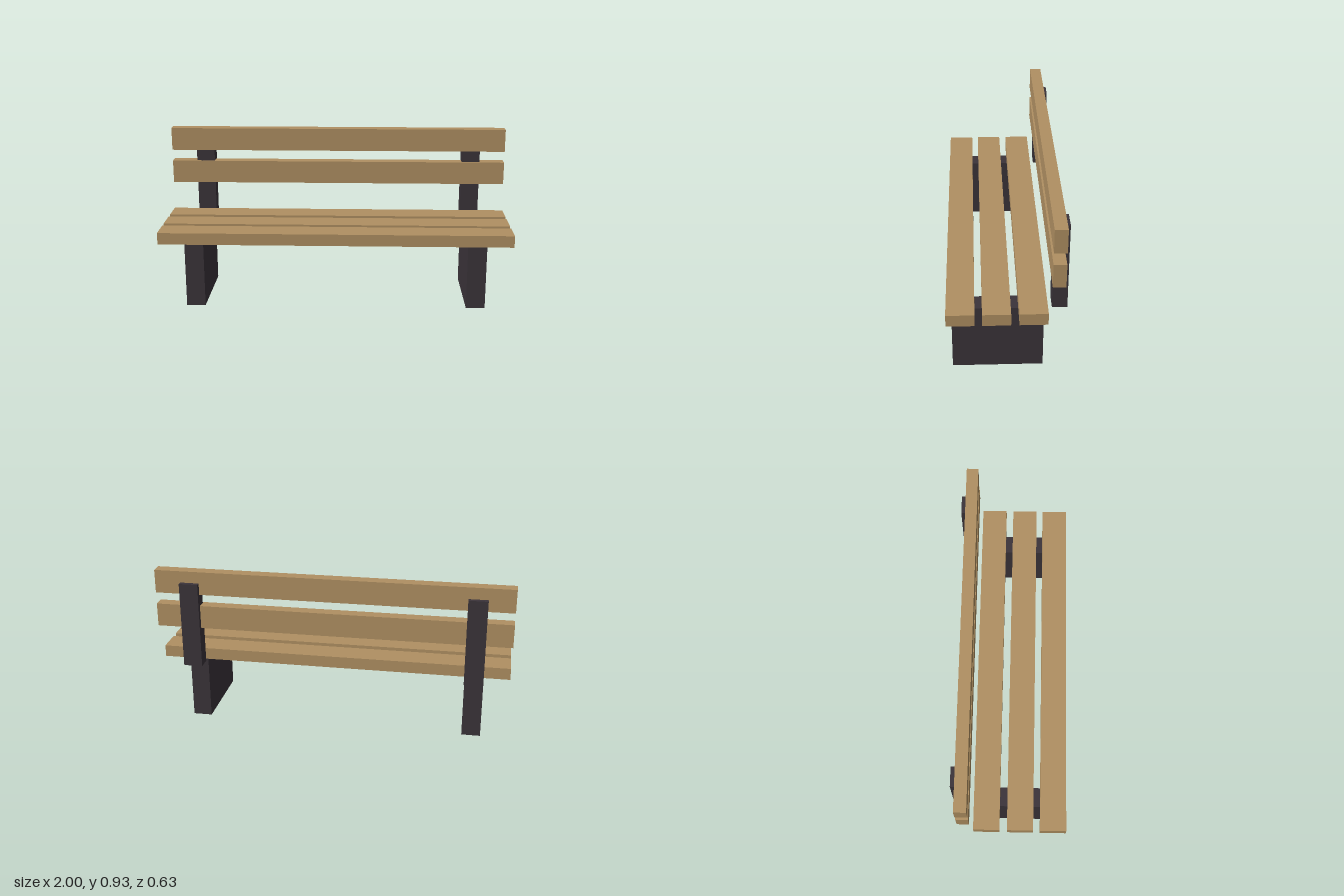
import * as THREE from 'three';

export function createModel() {
  const model = new THREE.Group();
  model.name = 'bench';

  const wood = new THREE.MeshStandardMaterial({ color: 0xb09062 });
  wood.name = 'wood';
  const iron = new THREE.MeshStandardMaterial({ color: 0x3b343a });
  iron.name = 'dark iron';

  // Box given by its centre x, width, and y and z limits
  function addBox(name, material, x, width, y0, y1, z0, z1) {
    const mesh = new THREE.Mesh(new THREE.BoxGeometry(width, y1 - y0, z1 - z0), material);
    mesh.position.set(x, (y0 + y1) / 2, (z0 + z1) / 2);
    mesh.name = name;
    model.add(mesh);
  }

  // Seat slats, front to back
  [0.24, 0.056, -0.132].forEach((z, i) => {
    addBox(`seatSlat${i + 1}`, wood, 0, 2, 0.373, 0.44, z - 0.073, z + 0.073);
  });

  // Backrest slats, lower and upper
  addBox('lowerBackSlat', wood, 0, 2, 0.6, 0.733, -0.287, -0.22);
  addBox('upperBackSlat', wood, 0, 2, 0.8, 0.933, -0.287, -0.22);

  // Slab legs and the posts that carry the backrest
  for (const [side, x] of [['left', 0.8], ['right', -0.8]]) {
    addBox(`${side}Leg`, iron, x, 0.107, 0, 0.373, -0.193, 0.287);
    addBox(`${side}BackPost`, iron, x, 0.107, 0.373, 0.867, -0.313, -0.233);
  }

  return model;
}
